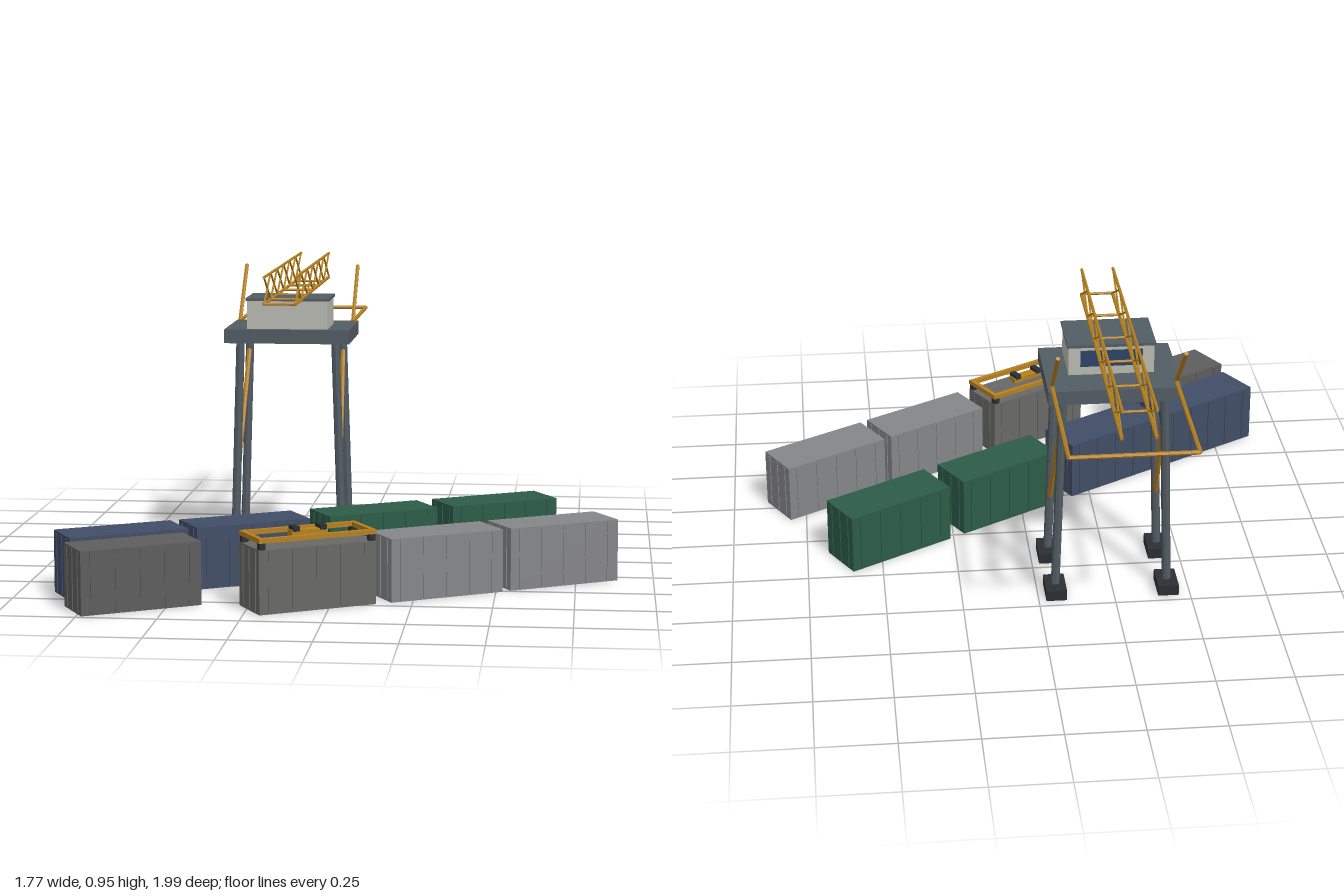
import * as THREE from 'three';

const mat = (color) => new THREE.MeshStandardMaterial({ color, flatShading: true });
const YELLOW = mat(0xb5801f), STEEL = mat(0x525c64), DARK = mat(0x2b2f33);
const WALL = mat(0xb9bbb2), GLASS = mat(0x2c4468);

function box(parent, name, material, size, pos) {
  const m = new THREE.Mesh(new THREE.BoxGeometry(...size), material);
  m.name = name;
  m.position.set(...pos);
  parent.add(m);
  return m;
}

// Straight round bar between two points
function bar(parent, name, material, a, b, r, sides = 6) {
  const p = new THREE.Vector3(...a), q = new THREE.Vector3(...b);
  const d = q.clone().sub(p);
  const m = new THREE.Mesh(new THREE.CylinderGeometry(r, r, d.length(), sides), material);
  m.name = name;
  m.position.copy(p).add(q).multiplyScalar(0.5);
  m.quaternion.setFromUnitVectors(new THREE.Vector3(0, 1, 0), d.normalize());
  parent.add(m);
  return m;
}

function group(parent, name) {
  const g = new THREE.Group();
  g.name = name;
  parent.add(g);
  return g;
}

// Cargo container with ribbed sides and door bars, long axis on x
const L = 0.39, W = 0.16, H = 0.2;
function container(parent, color, x, z) {
  const g = group(parent, 'container'), m = mat(color);
  g.position.set(x, 0, z);
  g.rotation.y = Math.PI / 6;
  box(g, 'containerBody', m, [L, H, W], [0, H / 2, 0]);
  for (const s of [-1, 1]) {
    for (let i = -2; i <= 2; i++)
      box(g, 'sideRib', m, [0.01, H * 0.96, 0.006], [i * 0.08, H / 2, s * W / 2]);
    for (let i = -1; i <= 1; i++)
      box(g, 'endRib', m, [0.006, H * 0.94, 0.008], [s * L / 2, H / 2, i * 0.05]);
  }
}

// Lifting frame resting on top of one container
function spreader(parent, x, z) {
  const g = group(parent, 'spreader');
  g.position.set(x, H, z);
  g.rotation.y = Math.PI / 6;
  for (const s of [-1, 1]) {
    box(g, 'spreaderSideBeam', YELLOW, [0.39, 0.015, 0.016], [0, 0.028, s * 0.073]);
    box(g, 'spreaderEndBeam', YELLOW, [0.016, 0.015, 0.16], [s * 0.187, 0.028, 0]);
    box(g, 'liftingBlock', DARK, [0.022, 0.016, 0.04], [s * 0.045, 0.044, 0]);
    for (const t of [-1, 1])
      box(g, 'cornerLock', DARK, [0.02, 0.022, 0.02], [s * 0.183, 0.011, t * 0.07]);
  }
  box(g, 'spreaderCentreBar', YELLOW, [0.12, 0.018, 0.035], [0, 0.031, 0]);
}

function crane(parent) {
  const g = group(parent, 'crane');
  g.position.set(-0.243, 0, -0.291);

  // Legs, feet and side braces
  for (const s of [-1, 1]) {
    for (const t of [-1, 1]) {
      bar(g, 'leg', STEEL, [s * 0.185, 0.02, t * 0.123], [s * 0.163, 0.72, t * 0.123], 0.0145, 8);
      box(g, 'foot', DARK, [0.068, 0.036, 0.112], [s * 0.185, 0.018, t * 0.123]);
    }
    bar(g, 'legBrace', YELLOW, [s * 0.178, 0.22, 0.123], [s * 0.165, 0.67, -0.123], 0.0085);
  }

  // Platform and machine cabin
  box(g, 'platform', STEEL, [0.428, 0.047, 0.332], [0, 0.732, 0]);
  box(g, 'cabin', WALL, [0.276, 0.098, 0.185], [0, 0.804, 0.045]);
  box(g, 'cabinRoof', STEEL, [0.286, 0.009, 0.195], [0, 0.856, 0.045]);
  box(g, 'cabinWindow', GLASS, [0.2, 0.055, 0.006], [0, 0.812, -0.048]);

  // Rear outrigger frame with raised stays
  for (const s of [-1, 1]) {
    bar(g, 'outriggerArm', YELLOW, [s * 0.199, 0.757, -0.123], [s * 0.199, 0.757, -0.617], 0.007);
    bar(g, 'raisedStay', YELLOW, [s * 0.199, 0.757, -0.123], [s * 0.199, 0.938, -0.305], 0.007);
  }
  bar(g, 'outriggerCrossbar', YELLOW, [-0.199, 0.757, -0.617], [0.199, 0.757, -0.617], 0.007);

  // Lattice boom
  const boom = group(g, 'boom');
  const bays = 6, z0 = 0.348, z1 = -0.709, low = 0.861, high = 0.95, hw = 0.052;
  const zAt = (i) => z0 + (z1 - z0) * i / bays;
  for (const s of [-1, 1]) {
    const x = s * hw;
    bar(boom, 'lowerRail', YELLOW, [x, low, z0], [x, low, z1], 0.006);
    bar(boom, 'upperRail', YELLOW, [x, high, z0], [x, high, z1], 0.005);
    for (let i = 0; i < bays; i++) {
      bar(boom, 'lattice', YELLOW, [x, low, zAt(i)], [x, high, zAt(i + 1)], 0.0035, 5);
      bar(boom, 'lattice', YELLOW, [x, high, zAt(i)], [x, low, zAt(i + 1)], 0.0035, 5);
    }
  }
  for (let i = 0; i < bays; i++)
    bar(boom, 'boomCrossbar', YELLOW, [-hw, low, zAt(i)], [hw, low, zAt(i)], 0.0045);
}

export function createModel() {
  const model = new THREE.Group();
  model.name = 'containerYard';
  crane(model);

  // Two rows of containers
  const yard = group(model, 'containers');
  const stock = [
    [0x414d66, -0.68, 0.615], [0x414d66, -0.315, 0.405],
    [0x2b5c47, 0.083, 0.172], [0x2b5c47, 0.47, -0.052],
    [0x5e5d5e, -0.605, 0.82], [0x686966, -0.07, 0.755],
    [0x858688, 0.313, 0.537], [0x858688, 0.675, 0.325],
  ];
  for (const [color, x, z] of stock) container(yard, color, x, z);
  spreader(model, -0.07, 0.755);
  return model;
}
